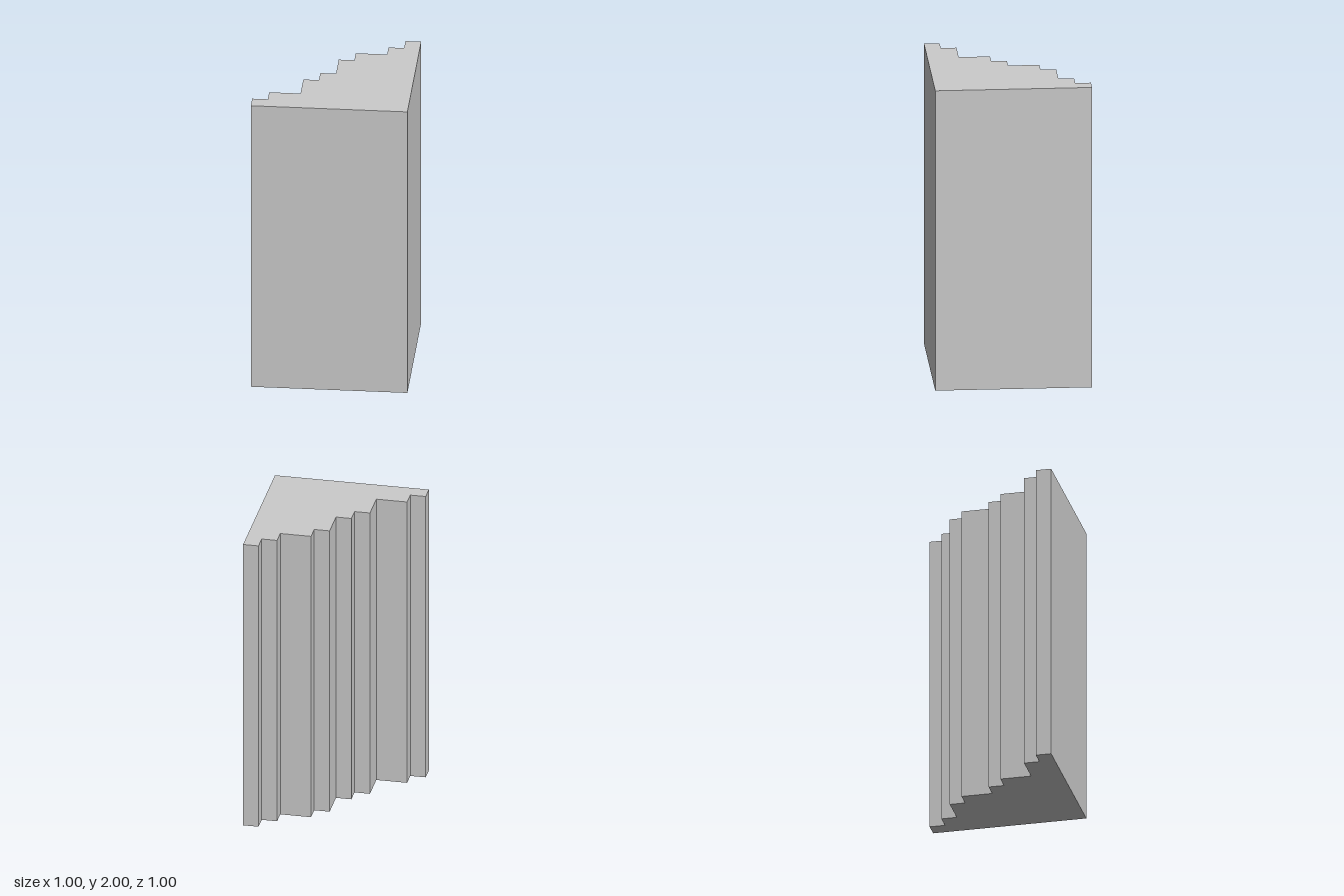
import * as THREE from 'three';

const HEIGHT = 2;
const HALF = 0.5;

// Each step of the jagged back: [x where it starts, z of its back face]
const STEPS = [
  [-0.5, 0.4], [-0.4, 0.3], [-0.2, 0.1], [-0.1, 0],
  [0, -0.2], [0.1, -0.3], [0.3, -0.4], [0.4, -0.5],
];

export function createModel() {
  const group = new THREE.Group();
  group.name = 'steppedBlock';

  // Footprint drawn with shape y = -z: straight front and left side, stepped back
  const footprint = new THREE.Shape();
  footprint.moveTo(-HALF, -HALF);
  footprint.lineTo(HALF, -HALF);
  for (let i = STEPS.length - 1; i >= 0; i--) {
    const [x, z] = STEPS[i];
    const endX = i + 1 < STEPS.length ? STEPS[i + 1][0] : HALF;
    footprint.lineTo(endX, -z);
    footprint.lineTo(x, -z);
  }
  footprint.closePath();

  // Extrude the footprint straight up
  const geometry = new THREE.ExtrudeGeometry(footprint, { depth: HEIGHT, bevelEnabled: false });
  geometry.rotateX(-Math.PI / 2);

  const material = new THREE.MeshStandardMaterial({ color: 0xcccccc, flatShading: true });
  const column = new THREE.Mesh(geometry, material);
  column.name = 'steppedColumn';
  group.add(column);
  return group;
}
